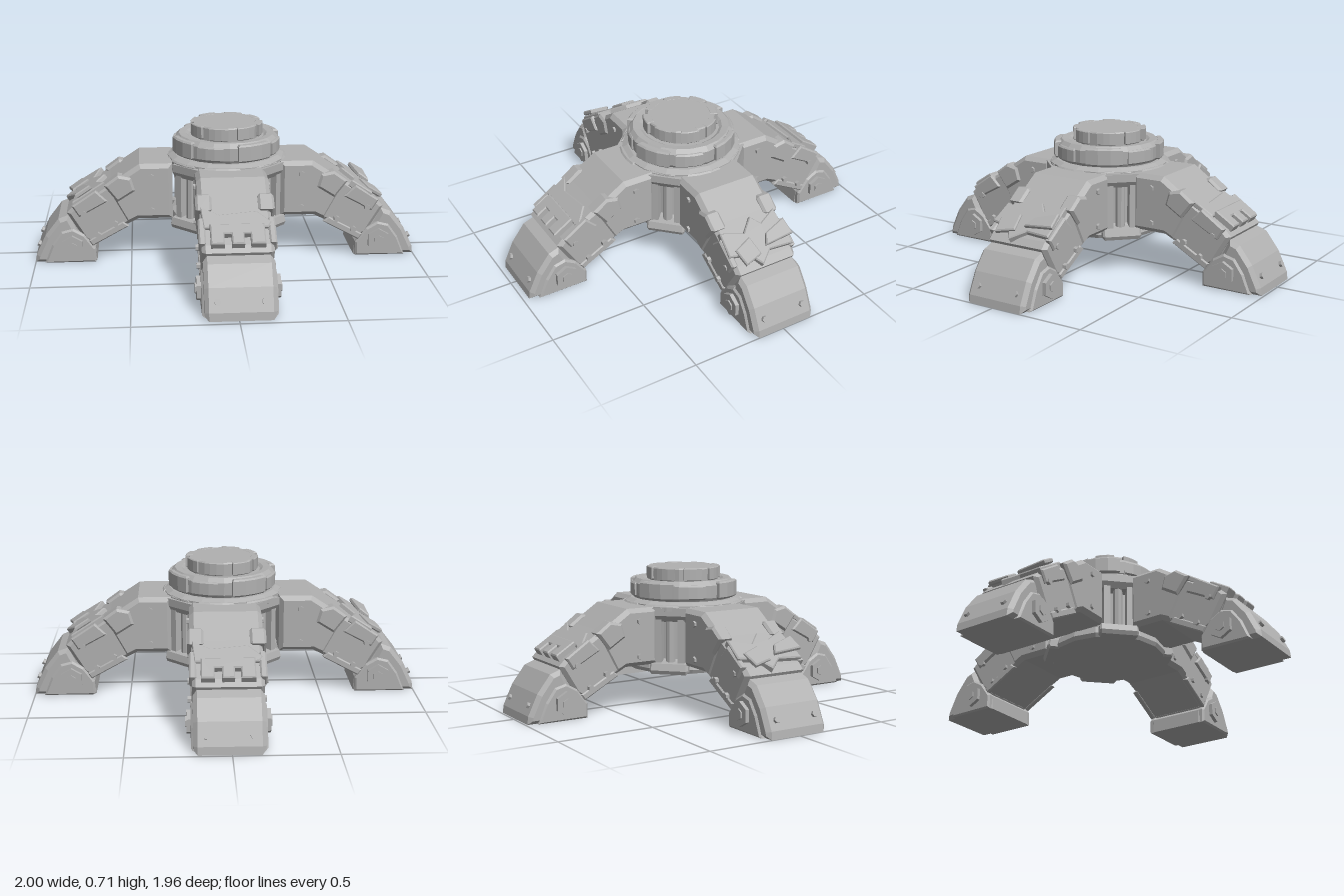
import * as THREE from 'three';

const metal = new THREE.MeshStandardMaterial({ color: 0xb0b0b0 });
metal.name = 'grey metal';

// Adds a faceted mesh to a parent
function add(parent, name, geo, x = 0, y = 0, z = 0) {
  const g = geo.index ? geo.toNonIndexed() : geo;
  g.computeVertexNormals();
  const mesh = new THREE.Mesh(g, metal);
  mesh.name = name;
  mesh.position.set(x, y, z);
  parent.add(mesh);
  return mesh;
}

// Outline extruded to a total depth centred on zero, with chamfered rims
function slab(pts, depth, bevel) {
  const shape = new THREE.Shape(pts.map(p => new THREE.Vector2(p[0], p[1])));
  const geo = new THREE.ExtrudeGeometry(shape, {
    depth: depth - 2 * bevel, bevelEnabled: bevel > 0, bevelThickness: bevel,
    bevelSize: bevel, bevelOffset: -bevel, bevelSegments: 1,
  });
  return geo.translate(0, 0, bevel - depth / 2);
}

// Plate lying flat: outline in x/z, thickness along y
const plate = (pts, thick, bevel = 0.006) => slab(pts, thick, bevel).rotateX(-Math.PI / 2);

// Curved block between two radii and two angles, lying flat
function arcBlock(r0, r1, height, a0, a1, bevel = 0.008) {
  const pts = [];
  const n = 3;
  for (let i = 0; i <= n; i++) {
    const a = a0 + (a1 - a0) * i / n;
    pts.push([r1 * Math.cos(a), r1 * Math.sin(a)]);
  }
  for (let i = n; i >= 0; i--) {
    const a = a0 + (a1 - a0) * i / n;
    pts.push([r0 * Math.cos(a), r0 * Math.sin(a)]);
  }
  return plate(pts, height, bevel);
}

// Hexagonal bolt with its axis along z
function bolt(parent, name, r, len, x, y, z) {
  add(parent, name, new THREE.CylinderGeometry(r, r, len, 6).rotateX(Math.PI / 2), x, y, z);
}

function lathe(points, sides) {
  return new THREE.LatheGeometry(points.map(p => new THREE.Vector2(p[0], p[1])), sides);
}

function makeHub() {
  const hub = new THREE.Group();
  hub.name = 'hub';
  add(hub, 'hubBody', lathe([[0, 0.18], [0.295, 0.18], [0.305, 0.2], [0.295, 0.235], [0.26, 0.25],
    [0.26, 0.46], [0.295, 0.49], [0.31, 0.51], [0.31, 0.53], [0.28, 0.545], [0, 0.545]], 16));
  add(hub, 'collar', lathe([[0, 0.535], [0.255, 0.535], [0.27, 0.56], [0.272, 0.625], [0.25, 0.648],
    [0.215, 0.645], [0.2, 0.635], [0, 0.635]], 20));
  add(hub, 'cap', lathe([[0, 0.63], [0.178, 0.63], [0.18, 0.7], [0.175, 0.707], [0, 0.707]], 14));

  // Uneven armour around the collar and cap
  const outer = [0.285, 0.278, 0.29, 0.28, 0.287, 0.276, 0.29, 0.282];
  outer.forEach((r, i) => {
    const a = i * Math.PI / 4 + 0.15;
    add(hub, 'collarPlate', arcBlock(0.25, r, i % 2 ? 0.075 : 0.09, a, a + (i % 2 ? 0.52 : 0.68)),
      0, i % 2 ? 0.592 : 0.598, 0);
    add(hub, 'capPlate', arcBlock(0.15, 0.188 + (i % 3) * 0.004, 0.066, a + 0.1, a + 0.62, 0.004), 0, 0.675, 0);
    add(hub, 'flangePlate', arcBlock(0.26, 0.31 + (i % 3) * 0.006, 0.035, a + 0.2, a + 0.8), 0, 0.515, 0);
  });

  // Ribs in the four gaps between the legs
  for (let i = 0; i < 4; i++) {
    const bay = new THREE.Group();
    bay.name = 'ribBay';
    bay.rotation.y = Math.PI / 4 + i * Math.PI / 2;
    add(bay, 'ribBase', slab([[0.2, 0.18], [0.325, 0.18], [0.335, 0.2], [0.325, 0.235], [0.2, 0.25]], 0.2, 0.01));
    add(bay, 'ribHead', slab([[0.2, 0.43], [0.3, 0.45], [0.32, 0.48], [0.32, 0.52], [0.2, 0.52]], 0.2, 0.01));
    for (const z of [-0.06, 0.06]) {
      add(bay, 'rib', new THREE.BoxGeometry(0.07, 0.3, 0.035), 0.272, 0.35, z);
    }
    add(bay, 'pipe', new THREE.CylinderGeometry(0.025, 0.025, 0.3, 8), 0.275, 0.35, 0);
    hub.add(bay);
  }
  return hub;
}

function makeLeg(ragged) {
  const leg = new THREE.Group();
  leg.name = 'leg';
  add(leg, 'upperLeg', slab([[0.27, 0.23], [0.45, 0.23], [0.51, 0.2], [0.62, 0.405], [0.44, 0.525], [0.27, 0.525]],
    0.36, 0.022));
  add(leg, 'lowerLeg', slab([[0.48, 0.215], [0.69, 0.1], [0.73, 0.12], [0.82, 0.27], [0.79, 0.3], [0.59, 0.425]],
    0.345, 0.018));
  add(leg, 'ankle', new THREE.CylinderGeometry(0.1, 0.1, 0.3, 10).rotateX(Math.PI / 2), 0.785, 0.13, 0);

  // Foot with side cheeks and large ankle bolts
  add(leg, 'foot', slab([[0.67, 0], [0.99, 0], [0.985, 0.04], [0.935, 0.145], [0.865, 0.235], [0.81, 0.255],
    [0.76, 0.15], [0.675, 0.075]], 0.34, 0.02));
  for (const s of [-1, 1]) {
    add(leg, 'footCheek', slab([[0.675, 0], [0.94, 0], [0.9, 0.1], [0.85, 0.17], [0.79, 0.185], [0.73, 0.15],
      [0.675, 0.075]], 0.04, 0.01), 0, 0, s * 0.16);
    bolt(leg, 'ankleBolt', 0.062, 0.03, 0.795, 0.09, s * 0.185);
    bolt(leg, 'ankleBoltCore', 0.028, 0.02, 0.795, 0.09, s * 0.197);
    for (const [x, y] of [[0.38, 0.46], [0.38, 0.28], [0.57, 0.21], [0.73, 0.27], [0.66, 0.15]]) {
      bolt(leg, 'sideBolt', 0.016, 0.03, x, y, s * 0.177);
    }
    // Toe studs
    const stud = add(leg, 'toeStud', new THREE.CylinderGeometry(0.016, 0.016, 0.03, 6), 0.963, 0.085, s * 0.11);
    stud.rotation.z = -1.13;
    // Lower edge strip
    add(leg, 'edgeStrip', slab([[0.5, 0.195], [0.69, 0.09], [0.71, 0.12], [0.53, 0.22]], 0.03, 0.006), 0, 0, s * 0.165);
  }

  // Armour lying on the sloping top face: x runs down the slope
  const slope = new THREE.Group();
  slope.name = 'slopeArmour';
  slope.position.set(0.44, 0.52, 0);
  slope.rotation.z = -0.563;
  if (ragged) {
    add(slope, 'tornPlate', plate([[0.2, 0.16], [0.25, 0.06], [0.2, 0.02], [0.27, -0.05], [0.23, -0.17],
      [0.36, -0.18], [0.38, -0.08], [0.45, -0.03], [0.39, 0.04], [0.4, 0.17]], 0.04), 0, 0.005, 0);
    const flake = add(slope, 'raisedFlake', plate([[0.27, 0.17], [0.31, 0.05], [0.37, 0.02], [0.36, 0.18]], 0.025), 0, 0.03, 0);
    flake.rotation.x = 0.06;
    add(slope, 'raisedFlake', plate([[0.3, -0.04], [0.34, -0.14], [0.43, -0.12], [0.4, -0.02]], 0.025), 0, 0.025, 0);
  } else {
    add(slope, 'notchedPlate', plate([[0.31, -0.13], [0.43, -0.13], [0.43, -0.065], [0.37, -0.065], [0.37, -0.03],
      [0.43, -0.03], [0.43, 0.03], [0.37, 0.03], [0.37, 0.06], [0.43, 0.06], [0.43, 0.13], [0.31, 0.13]], 0.045), 0, 0.012, 0);
    add(slope, 'kneePlate', plate([[0.19, -0.17], [0.32, -0.16], [0.32, 0.15], [0.29, 0.17], [0.22, 0.1], [0.24, -0.08]],
      0.03), 0, 0.002, 0);
  }
  for (const s of [-1, 1]) {
    // Clamps folded over both edges
    add(slope, 'edgeClamp', slab([[0.09, -0.1], [0.2, -0.1], [0.21, 0.012], [0.12, 0.018], [0.07, -0.03]], 0.08, 0.012),
      0, 0, s * 0.152);
    add(slope, 'edgeGuard', slab([[0.24, -0.07], [0.41, -0.06], [0.41, 0.01], [0.26, 0.014]], 0.035, 0.008),
      0, 0, s * 0.168);
  }
  leg.add(slope);
  return leg;
}

export function createModel() {
  const model = new THREE.Group();
  model.name = 'fourLeggedBase';
  const body = new THREE.Group();
  body.name = 'body';
  body.position.set(0.01, 0, -0.01);
  body.add(makeHub());
  // Left, back, right and front legs
  ['leftLeg', 'backLeg', 'rightLeg', 'frontLeg'].forEach((name, i) => {
    const leg = makeLeg(i % 2 === 0);
    const pivot = new THREE.Group();
    pivot.name = name;
    pivot.rotation.y = i * Math.PI / 2;
    leg.position.x = [0, -0.01, 0.02, -0.01][i];
    pivot.add(leg);
    body.add(pivot);
  });
  model.add(body);
  return model;
}
